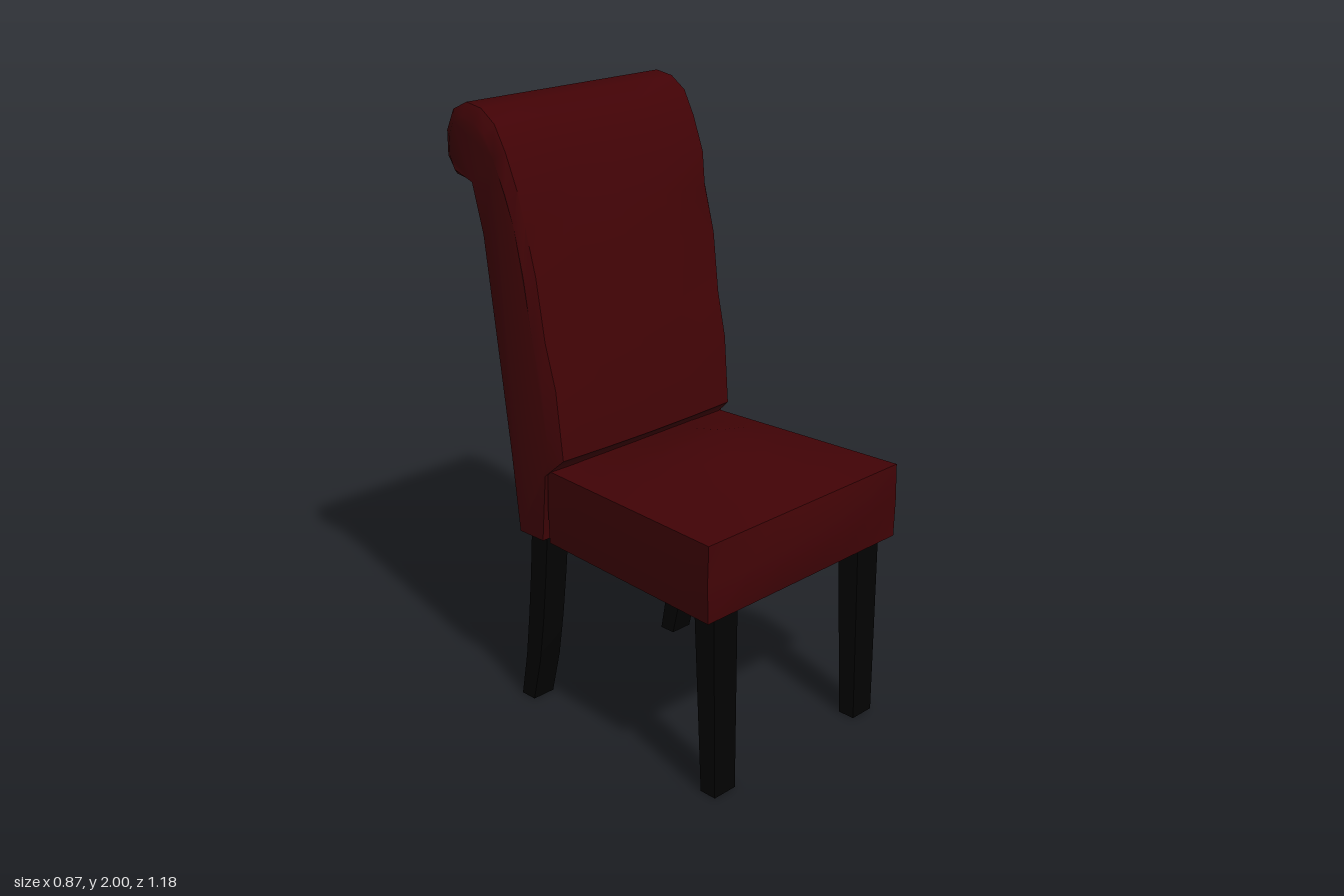
import * as THREE from 'three';
import { toCreasedNormals } from 'three/addons/utils/BufferGeometryUtils.js';

const leather = new THREE.MeshStandardMaterial({ color: 0x410306 });
leather.name = 'dark red leather';
const wood = new THREE.MeshStandardMaterial({ color: 0x020202 });
wood.name = 'black wood';
const lining = new THREE.MeshStandardMaterial({ color: 0x674940 });
lining.name = 'brown lining';

function mesh(name, geometry, material, crease = 0.6) {
  const m = new THREE.Mesh(toCreasedNormals(geometry, crease), material);
  m.name = name;
  return m;
}

// Moves every vertex of a geometry by a rule
function reshape(geometry, rule) {
  const p = geometry.attributes.position;
  const v = new THREE.Vector3();
  for (let i = 0; i < p.count; i++) {
    v.fromBufferAttribute(p, i);
    rule(v);
    p.setXYZ(i, v.x, v.y, v.z);
  }
  return geometry;
}

// Square leg; sections are [zFront, zBack, halfWidth] evenly spaced from floor to seat
function leg(name, x, sections) {
  const n = sections.length - 1;
  const geometry = reshape(new THREE.BoxGeometry(1, 1, 1, 1, n, 1), (v) => {
    const [zf, zb, half] = sections[Math.round((v.y + 0.5) * n)];
    v.set(x + Math.sign(v.x) * half, (v.y + 0.5) * 0.63, v.z > 0 ? zf : zb);
  });
  return mesh(name, geometry, wood, 0.3);
}

// Cushion: widens to the front, domed on top, bulging at front and sides
function seat() {
  const geometry = reshape(new THREE.BoxGeometry(2, 2, 2, 6, 2, 6), (v) => {
    const { x, y, z } = v;
    const front = z > 0.99, side = Math.abs(x) > 0.99, middle = Math.abs(y) < 0.01;
    const half = 0.41 + 0.022 * z + (side && middle ? 0.004 : 0);
    // The dome peaks behind the middle and off to the left
    const along = z > -0.3 ? (1 - z) / 1.3 : (z + 1) / 0.7;
    const across = x > 0.33 ? (1 - x) / 0.67 : (x + 1) / 1.33;
    const dome = 0.065 * Math.pow(Math.max(0, along * across), 0.8);
    v.x = x * half;
    v.z = 0.192 + z * 0.372 + (front && middle ? 0.03 * (1 - x * x) : 0);
    v.y = 0.75 + y * 0.125 + (y > 0.99 ? dome : 0);
  });
  return mesh('seatCushion', geometry, leather, 0.7);
}

// Backrest side profile with rolled top: [z, y, rim inset z, rim inset y, half width]
const PROFILE = [
  [-0.20, 0.63, 0, 0, 0.40], [-0.18, 0.86, 0, 0, 0.40],
  [-0.12, 0.92, -0.04, 0, 0.40], [-0.142, 1.15, -0.035, 0, 0.405],
  [-0.18, 1.30, -0.03, 0, 0.41], [-0.208, 1.50, -0.03, 0, 0.415],
  [-0.25, 1.65, -0.025, 0, 0.415], [-0.27, 1.76, -0.03, -0.01, 0.425],
  [-0.315, 1.87, -0.03, -0.02, 0.428], [-0.36, 1.95, -0.02, -0.03, 0.43],
  [-0.42, 1.99, -0.01, -0.04, 0.43], [-0.49, 2.00, 0.01, -0.04, 0.43],
  [-0.555, 1.97, 0.03, -0.03, 0.43], [-0.59, 1.90, 0.04, -0.01, 0.43],
  [-0.59, 1.82, 0.04, 0.01, 0.43], [-0.55, 1.77, 0.02, 0.02, 0.43],
  [-0.46, 1.75, 0, 0.01, 0.42], [-0.42, 1.60, 0, 0, 0.415],
  [-0.37, 1.20, 0, 0, 0.41], [-0.335, 0.90, 0, 0, 0.405], [-0.31, 0.63, 0, 0, 0.40],
];

function backrest() {
  const n = PROFILE.length;
  // Stations across the width; the outermost pair is the inset rim
  const stations = [-1, -1, -0.5, -0.03, 0, 0.03, 0.5, 1, 1];
  const last = stations.length - 1;
  const positions = [], index = [];
  stations.forEach((s, i) => {
    const rim = i === 0 || i === last;
    PROFILE.forEach(([z, y, dz, dy, w], j) => {
      const bulge = j >= 2 && j <= 6 ? 0.01 * (1 - s * s) : 0;
      const seam = s === 0 && j >= 17 && j <= 19 ? 0.008 : 0;
      positions.push(s * (rim ? w : w - 0.025), y + (rim ? dy : 0),
        z + bulge + seam + (rim ? dz : 0));
    });
  });
  for (let i = 0; i < last; i++) {
    for (let j = 0; j < n; j++) {
      const k = (j + 1) % n;
      const a = i * n + j, b = i * n + k, c = b + n, d = a + n;
      index.push(a, d, c, a, c, b);
    }
  }
  // Side caps
  const rimPoints = PROFILE.map(([z, y, dz, dy]) => new THREE.Vector2(-z - dz, y + dy));
  for (const [a, b, c] of THREE.ShapeUtils.triangulateShape(rimPoints, [])) {
    const ccw = THREE.ShapeUtils.area([rimPoints[a], rimPoints[b], rimPoints[c]]) > 0;
    const [p, q] = ccw ? [b, c] : [c, b];
    const o = last * n;
    index.push(o + a, o + p, o + q, a, q, p);
  }
  const geometry = new THREE.BufferGeometry();
  geometry.setAttribute('position', new THREE.Float32BufferAttribute(positions, 3));
  geometry.setIndex(index);
  return mesh('rolledBackrest', geometry, leather, 0.8);
}

export function createModel() {
  const group = new THREE.Group();
  group.name = 'diningChair';
  group.add(seat(), backrest());

  // Lining under the seat
  const panel = mesh('seatLining', new THREE.BoxGeometry(0.74, 0.008, 0.69), lining);
  panel.position.set(0, 0.622, 0.16);
  group.add(panel);

  // Small worn spots beside the rear seam, where the lining shows
  for (const [x, y, z, r] of [[0.048, 1.61, -0.422, 0.017], [-0.033, 1.55, -0.414, 0.026]]) {
    const spot = mesh('wornSpot', new THREE.CylinderGeometry(r, r, 0.006, 3), lining);
    spot.position.set(x, y, z);
    spot.rotation.x = -Math.PI / 2 - 0.125;
    group.add(spot);
  }

  // Straight front legs and swept rear legs
  for (const [side, s] of [['left', 1], ['right', -1]]) {
    group.add(leg(side + 'FrontLeg', s * 0.332,
      [[0.545, 0.485, 0.045], [0.54, 0.46, 0.051]]));
    group.add(leg(side + 'RearLeg', s * 0.332,
      [[-0.30, -0.36, 0.042], [-0.262, -0.33, 0.043], [-0.238, -0.31, 0.044],
        [-0.22, -0.293, 0.045], [-0.205, -0.28, 0.046]]));
  }
  return group;
}
